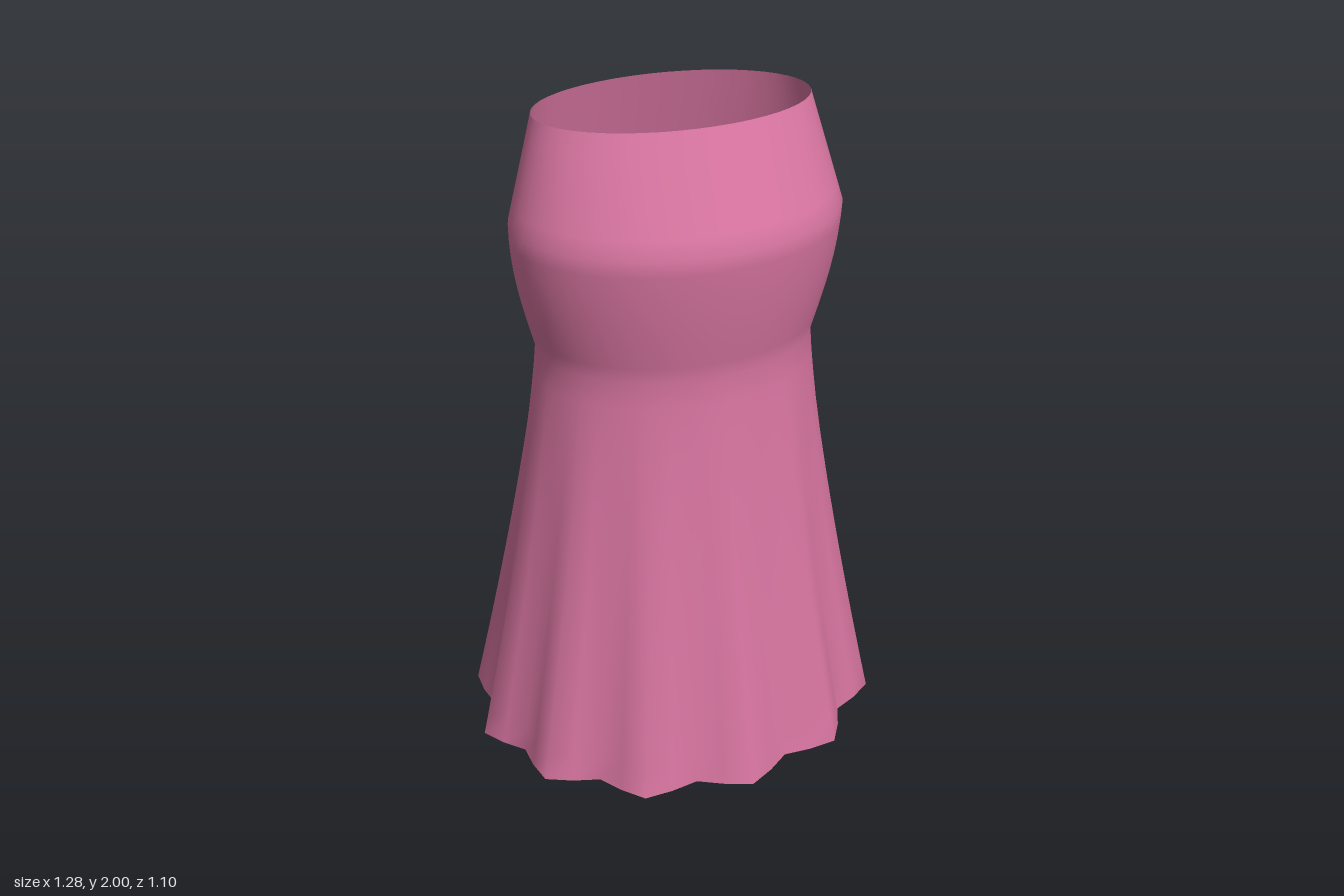
import * as THREE from 'three';

const SEGMENTS = 48;
const FOLDS = 12;
const lerp = THREE.MathUtils.lerp;

// Key ellipses: half width, half depth, centre in z
const hem = { y: 0, a: 0.612, b: 0.525, cz: 0 };
const waist = { y: 1.3, a: 0.407, b: 0.302, cz: 0.022 };
const bust = { y: 1.7, a: 0.476, b: 0.333, cz: 0.052 };
const neck = { y: 2, a: 0.395, b: 0.215, cz: 0.01 };

function blend(p, q, u, ease, fold = 0) {
  return {
    y: lerp(p.y, q.y, u),
    a: lerp(p.a, q.a, ease),
    b: lerp(p.b, q.b, ease),
    cz: lerp(p.cz, q.cz, u),
    fold,
  };
}

// Stack of rings from hem to neckline
function dressRings() {
  const rings = [];
  for (let i = 0; i < 16; i++) {
    const u = i / 16;
    const flare = Math.pow(1 - u, 1.22);
    rings.push(blend(hem, waist, u, 1 - flare, 0.032 * flare));
  }
  for (let i = 0; i < 8; i++) {
    const u = i / 8;
    rings.push(blend(waist, bust, u, Math.sin(u * Math.PI / 2)));
  }
  for (let i = 0; i <= 6; i++) rings.push(blend(bust, neck, i / 6, i / 6));
  return rings;
}

// Closed loft with pleats that fade out towards the waist
function loft(rings) {
  const positions = [], index = [];
  rings.forEach((r, i) => {
    for (let j = 0; j < SEGMENTS; j++) {
      const t = (j / SEGMENTS) * Math.PI * 2;
      const ripple = -r.fold * Math.sin(FOLDS * t);
      positions.push((r.a + ripple) * Math.cos(t), r.y, r.cz + (r.b + ripple) * Math.sin(t));
      if (i < rings.length - 1) {
        const k = (j + 1) % SEGMENTS;
        const a = i * SEGMENTS + j, b = i * SEGMENTS + k;
        const c = a + SEGMENTS, d = b + SEGMENTS;
        index.push(a, c, b, b, c, d);
      }
    }
  });
  const geometry = new THREE.BufferGeometry();
  geometry.setAttribute('position', new THREE.Float32BufferAttribute(positions, 3));
  geometry.setIndex(index);
  geometry.computeVertexNormals();
  return geometry;
}

export function createModel() {
  const group = new THREE.Group();
  group.name = 'dress';
  const pink = new THREE.MeshStandardMaterial({ color: 0xd6749f, side: THREE.DoubleSide });
  pink.name = 'pink fabric';

  // Strapless gown, open at the neckline and hem
  const gown = new THREE.Mesh(loft(dressRings()), pink);
  gown.name = 'gown';
  group.add(gown);
  return group;
}
